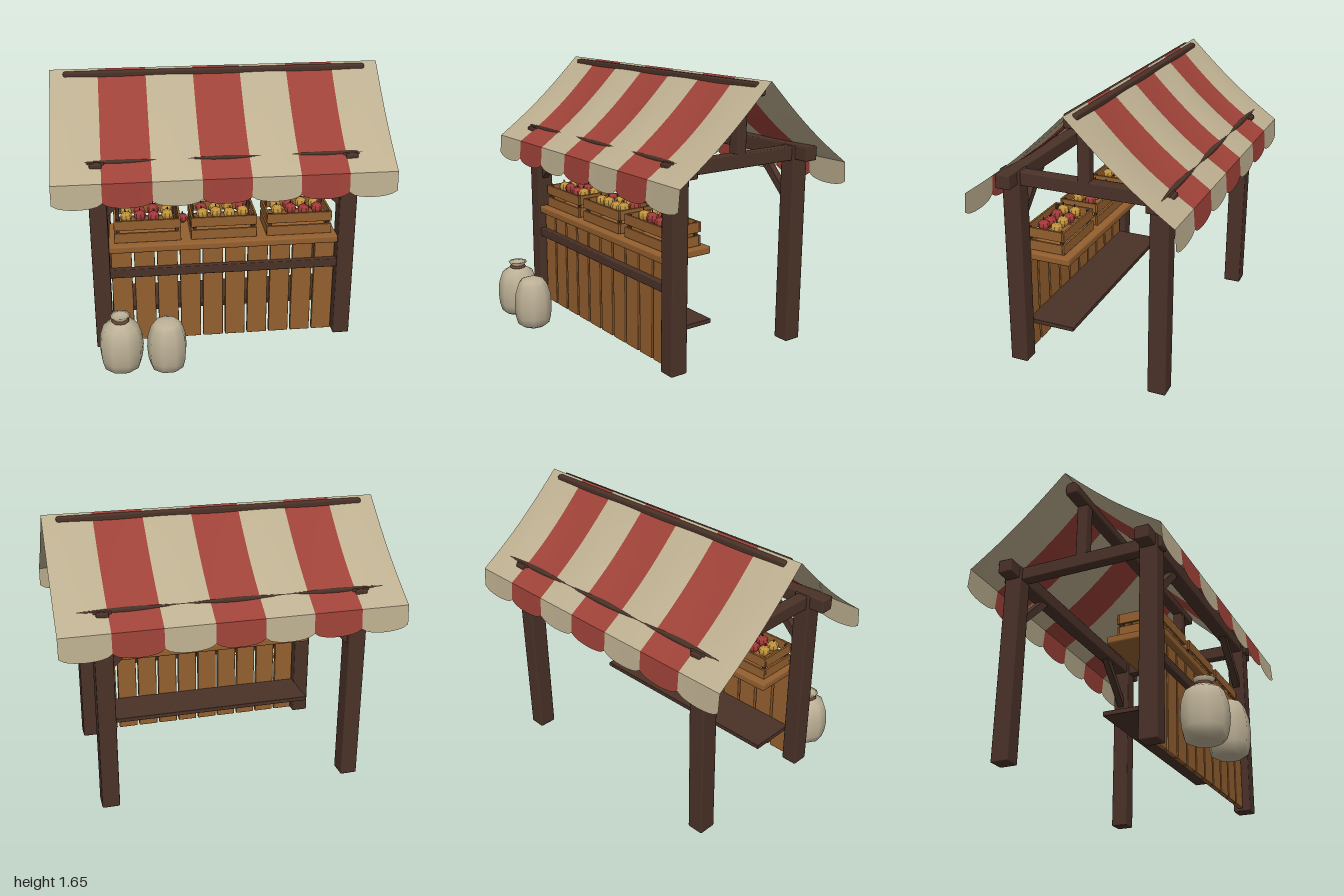
import * as THREE from 'three';
import { RoundedBoxGeometry } from 'three/addons/geometries/RoundedBoxGeometry.js';

const mat = (color, opts = {}) => new THREE.MeshStandardMaterial({ color, ...opts });
const darkWood = mat(0x4a3228);
const wood = mat(0x94602f);
const cream = mat(0xbdaf90, { side: THREE.DoubleSide });
const red = mat(0x9e4238, { side: THREE.DoubleSide });
const sackCloth = mat(0xbcb096, { side: THREE.DoubleSide });
const rope = mat(0x6b4632);
const redFruit = mat(0xa03a38, { flatShading: true });
const yellowFruit = mat(0xc0923c, { flatShading: true });
const stemMat = mat(0x3d3320);

const RIDGE_Z = -0.115, RIDGE_Y = 1.655, EAVE_Y = 1.15, RUN = 0.605;
const STRIPES = 7, STRIPE_W = 2 / STRIPES;

function add(parent, name, geometry, material, x = 0, y = 0, z = 0) {
  const mesh = new THREE.Mesh(geometry, material);
  mesh.name = name;
  mesh.position.set(x, y, z);
  parent.add(mesh);
  return mesh;
}

// Slightly chamfered beam given by its limits on each axis
function beam(parent, name, material, [x0, x1], [y0, y1], [z0, z1], r = 0.008) {
  const geo = new RoundedBoxGeometry(x1 - x0, y1 - y0, z1 - z0, 1, r);
  return add(parent, name, geo, material, (x0 + x1) / 2, (y0 + y1) / 2, (z0 + z1) / 2);
}

// Plane whose points are moved by a rule of (x, t), t running from top to bottom
function cloth(width, cols, rows, rule) {
  const geo = new THREE.PlaneGeometry(width, 1, cols, rows);
  const p = geo.attributes.position;
  for (let i = 0; i < p.count; i++) p.setXYZ(i, ...rule(p.getX(i), 0.5 - p.getY(i)));
  geo.computeVertexNormals();
  return geo;
}

function buildCanopy() {
  const canopy = new THREE.Group();
  canopy.name = 'canopy';
  for (const side of [1, -1]) {
    for (let i = 0; i < STRIPES; i++) {
      const cx = -1 + (i + 0.5) * STRIPE_W;
      const material = i % 2 ? red : cream;
      // Sagging roof strip
      add(canopy, 'roofStripe', cloth(STRIPE_W, 6, 12, (x, t) => {
        const wx = cx + x * side;
        const sag = Math.sin(Math.PI * t) * (0.032 + 0.012 * Math.cos(2 * Math.PI * wx / 0.6));
        return [wx, RIDGE_Y + (EAVE_Y - RIDGE_Y) * t - sag, RIDGE_Z + side * RUN * t];
      }), material);
      // Hanging scallop
      add(canopy, 'valance', cloth(STRIPE_W, 10, 2, (x, t) => {
        const u = 2 * x / STRIPE_W;
        const drop = 0.108 + 0.042 * Math.sqrt(Math.max(0, 1 - u * u * 0.97));
        return [cx + x * side, EAVE_Y - drop * t, RIDGE_Z + side * (RUN + 0.01 * t)];
      }), material);
    }
  }
  return canopy;
}

function buildFrame() {
  const frame = new THREE.Group();
  frame.name = 'frame';
  for (const z of [0.325, -0.56]) {
    beam(frame, 'purlin', darkWood, [-0.89, 0.885], [1.155, 1.24], [z - 0.045, z + 0.045]);
    for (const s of [-1, 1]) {
      const x = s * 0.745;
      beam(frame, 'post', darkWood, [x - 0.052, x + 0.052], [0.012, 1.235], [z - 0.055, z + 0.055]);
      // Diagonal brace from post to purlin
      const brace = add(frame, 'brace', new THREE.BoxGeometry(0.045, 0.42, 0.045), darkWood, s * 0.585, 1.025, z);
      brace.rotation.z = s * Math.PI / 4;
    }
  }
  for (const x of [-0.745, 0.745]) {
    beam(frame, 'tieBeam', darkWood, [x - 0.036, x + 0.036], [1.148, 1.232], [-0.632, 0.402]);
    beam(frame, 'kingPost', darkWood, [x - 0.035, x + 0.035], [1.2, 1.6], [-0.15, -0.08]);
  }
  beam(frame, 'ridgeBeam', darkWood, [-0.92, 0.92], [1.565, 1.645], [RIDGE_Z - 0.04, RIDGE_Z + 0.04], 0.012);
  return frame;
}

function buildCounter() {
  const counter = new THREE.Group();
  counter.name = 'counter';
  const pitch = 0.1385;
  for (let i = 0; i < 10; i++) {
    const x = (i - 4.5) * pitch;
    beam(counter, 'plank', wood, [x - 0.062, x + 0.062], [0.028, 0.655], [0.305, 0.335], 0.004);
  }
  beam(counter, 'counterTop', wood, [-0.695, 0.695], [0.65, 0.698], [0.025, 0.375], 0.012);
  beam(counter, 'frontRail', darkWood, [-0.7, 0.7], [0.485, 0.54], [0.33, 0.37], 0.006);
  beam(counter, 'shelf', darkWood, [-0.69, 0.69], [0.222, 0.25], [0.012, 0.31], 0.004);
  return counter;
}

// Faceted fruit with a small stem
function fruit(parent, material, x, y, z, r, turn) {
  const f = new THREE.Group();
  f.name = 'fruit';
  add(f, 'fruitBody', new THREE.SphereGeometry(r, 8, 6), material).scale.y = 0.95;
  add(f, 'stem', new THREE.CylinderGeometry(0.003, 0.005, 0.018, 5), stemMat, 0, r + 0.004, 0);
  f.position.set(x, y, z);
  f.rotation.set(0.1 * Math.sin(turn), turn, 0.15 * Math.cos(turn * 2));
  parent.add(f);
}

function buildCrate(cx, pattern) {
  const crate = new THREE.Group();
  crate.name = 'crate';
  const w = 0.2, z0 = 0.072, z1 = 0.33, t = 0.014;
  beam(crate, 'crateFloor', wood, [-w + t, w - t], [0.7, 0.712], [z0 + t, z1 - t], 0.002);
  for (const [y0, y1] of [[0.7, 0.762], [0.78, 0.842]]) {
    for (const z of [z0, z1 - t]) beam(crate, 'longSlat', wood, [-w, w], [y0, y1], [z, z + t], 0.003);
    for (const x of [-w, w - t]) beam(crate, 'endSlat', wood, [x, x + t], [y0, y1], [z0 + t, z1 - t], 0.003);
  }
  for (const x of [-w + t, w - t - 0.02]) {
    for (const z of [z0 + t, z1 - t - 0.02]) {
      beam(crate, 'cornerPost', darkWood, [x, x + 0.02], [0.7, 0.838], [z, z + 0.02], 0.003);
    }
  }
  // Two rows of fruit; the pattern gives the colour of each
  [...pattern].forEach((c, i) => {
    const col = i % 4, row = Math.floor(i / 4);
    fruit(crate, c === 'r' ? redFruit : yellowFruit,
      (col - 1.5) * 0.082, 0.832 + 0.006 * Math.sin(i * 2.3), 0.24 - row * 0.082, 0.037, i * 1.7);
  });
  crate.position.x = cx;
  return crate;
}

function buildSack(x, z, radius, tied, turn) {
  const sack = new THREE.Group();
  sack.name = 'sack';
  const body = [[0, 0], [0.6, 0.002], [0.84, 0.02], [0.95, 0.07], [1, 0.14], [0.95, 0.22], [0.78, 0.285]];
  const top = tied
    ? [[0.5, 0.308], [0.32, 0.32], [0.3, 0.33], [0.46, 0.355], [0.3, 0.352], [0, 0.345]]
    : [[0.62, 0.31], [0.35, 0.322], [0, 0.325]];
  const points = [...body, ...top].map(([r, y]) => new THREE.Vector2(r * radius, y));
  add(sack, 'sackBody', new THREE.LatheGeometry(points, 9), sackCloth);
  if (tied) {
    const tie = add(sack, 'rope', new THREE.TorusGeometry(0.042, 0.011, 6, 10), rope, 0, 0.322, 0);
    tie.rotation.x = Math.PI / 2;
  }
  sack.position.set(x, 0, z);
  sack.rotation.y = turn;
  return sack;
}

export function createModel() {
  const stall = new THREE.Group();
  stall.name = 'marketStall';
  stall.add(buildFrame(), buildCanopy(), buildCounter());
  stall.add(buildCrate(-0.46, 'yrryyrry'), buildCrate(0, 'yyyyryyr'), buildCrate(0.46, 'yrrryryy'));
  fruit(stall, redFruit, -0.232, 0.735, 0.08, 0.032, 0.6);
  stall.add(buildSack(-0.645, 0.58, 0.133, true, 0.3), buildSack(-0.375, 0.615, 0.12, false, 1.1));
  return stall;
}
